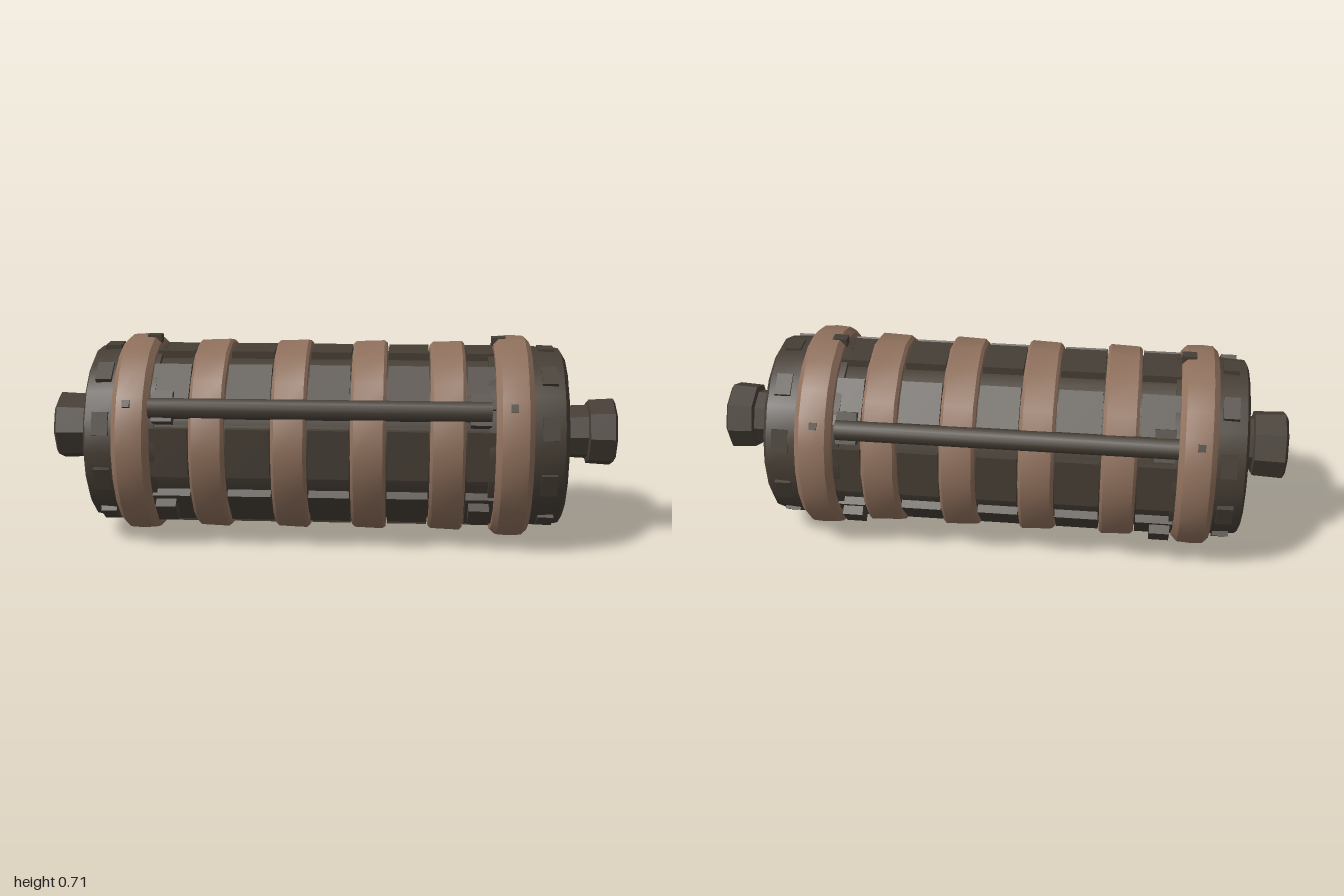
import * as THREE from 'three';
import { toCreasedNormals } from 'three/addons/utils/BufferGeometryUtils.js';

export function createModel() {
  const dark = new THREE.MeshStandardMaterial({ color: 0x463e35 });
  dark.name = 'darkIron';
  const brown = new THREE.MeshStandardMaterial({ color: 0x8f705c });
  brown.name = 'brownBand';
  const model = new THREE.Group();
  const AXIS = 0.36;

  function add(name, geometry, material, x = 0, y = AXIS, z = 0) {
    const mesh = new THREE.Mesh(geometry, material);
    mesh.name = name;
    mesh.position.set(x, y, z);
    model.add(mesh);
    return mesh;
  }

  // Revolves [x, radius] pairs (x ascending on the outside) about the x axis
  function turned(profile, sides) {
    const points = profile.map(([x, r]) => new THREE.Vector2(r, x));
    const geometry = new THREE.LatheGeometry(points, sides);
    geometry.rotateZ(-Math.PI / 2);
    return toCreasedNormals(geometry, 0.6);
  }

  // Box on the drum surface; angle is measured upward from the front
  function surfaceBox(name, x, angle, radius, length, width, depth) {
    const mesh = add(name, new THREE.BoxGeometry(length, width, depth), dark,
      x, AXIS + Math.sin(angle) * radius, Math.cos(angle) * radius);
    mesh.rotation.x = -angle;
    return mesh;
  }

  // Drum core
  add('drumCore', turned([[-0.72, 0.3], [0.68, 0.3]], 20), dark);

  // End drums with a rim and a shallow recessed face
  add('rightEndDrum', turned([[-0.82, 0], [-0.82, 0.23], [-0.835, 0.25], [-0.85, 0.285],
    [-0.84, 0.308], [-0.70, 0.318], [-0.60, 0.318], [-0.60, 0.29]], 18), dark);
  add('leftEndDrum', turned([[0.54, 0.29], [0.54, 0.318], [0.68, 0.322], [0.795, 0.315],
    [0.81, 0.29], [0.80, 0.25], [0.785, 0.23], [0.785, 0]], 18), dark);

  // Small blocks round the end drums
  for (const x of [-0.785, 0.745]) {
    for (let i = 0; i < 10; i++) {
      surfaceBox('endBlock', x, (i + 0.5) * Math.PI / 5, 0.307, 0.055, 0.08, 0.03);
    }
  }

  // Wide outer bands
  for (const [x, r] of [[-0.68, 0.354], [0.625, 0.36]]) {
    add('wideBand', turned([[-0.064, 0.29], [-0.064, r - 0.022], [-0.045, r - 0.003], [0, r],
      [0.045, r - 0.003], [0.064, r - 0.022], [0.064, 0.29]], 22), brown, x);
  }

  // Narrow bands
  const bands = [-0.42, -0.14, 0.13, 0.40];
  for (const x of bands) {
    add('narrowBand', turned([[-0.06, 0.28], [-0.06, 0.328], [-0.05, 0.338], [0.05, 0.342],
      [0.06, 0.333], [0.06, 0.28]], 16), brown, x);
  }

  // Raised plates between the bands
  const edges = [-0.68, ...bands, 0.625];
  for (let i = 0; i < 5; i++) {
    const length = edges[i + 1] - edges[i] - 0.13;
    for (let k = 0; k < 8; k++) {
      surfaceBox('drumPlate', (edges[i] + edges[i + 1]) / 2, k * Math.PI / 4 + Math.PI / 2,
        0.294, length, 0.17, 0.036);
    }
  }

  // Long rods on the front and the back, with end brackets and lower lugs
  for (const side of [1, -1]) {
    const rod = add('sideRod', new THREE.CylinderGeometry(0.036, 0.036, 1.16, 8), dark,
      -0.035, 0.513, side * 0.296);
    rod.rotation.z = Math.PI / 2;
    const rodAngle = side > 0 ? 0.5 : Math.PI - 0.5;
    const lugAngle = side > 0 ? -0.73 : Math.PI + 0.73;
    for (const x of [-0.57, 0.51]) {
      surfaceBox('rodBracket', x, rodAngle, 0.316, 0.07, 0.11, 0.04);
      surfaceBox('lowerLug', x, lugAngle, 0.322, 0.07, 0.09, 0.05);
    }
    for (const x of [-0.69, 0.62]) {
      surfaceBox('bandStud', x, rodAngle, 0.352, 0.025, 0.025, 0.02);
    }
  }
  for (const x of [-0.64, 0.58]) surfaceBox('topStud', x, Math.PI / 2, 0.342, 0.05, 0.04, 0.03);

  // Axle hubs with hollow ends
  const HUB = 0.378;
  add('leftHub', turned([[0.77, 0.17], [0.80, 0.155], [0.825, 0.14], [0.835, 0.095], [0.90, 0.098],
    [0.905, 0.117], [0.99, 0.122], [1.0, 0.105], [1.0, 0.078], [0.92, 0.066], [0.92, 0]], 8),
  dark, 0, HUB);
  add('rightHub', turned([[-0.92, 0], [-0.92, 0.066], [-1.0, 0.078], [-1.0, 0.105], [-0.99, 0.122],
    [-0.885, 0.117], [-0.88, 0.098], [-0.84, 0.1], [-0.83, 0.14], [-0.80, 0.17]], 8),
  dark, 0, HUB);

  // Brown half of the left socket floor
  const floor = add('socketFloor', new THREE.CircleGeometry(0.062, 8, Math.PI / 2, Math.PI),
    brown, 0.923, HUB);
  floor.rotation.y = Math.PI / 2;

  return model;
}
